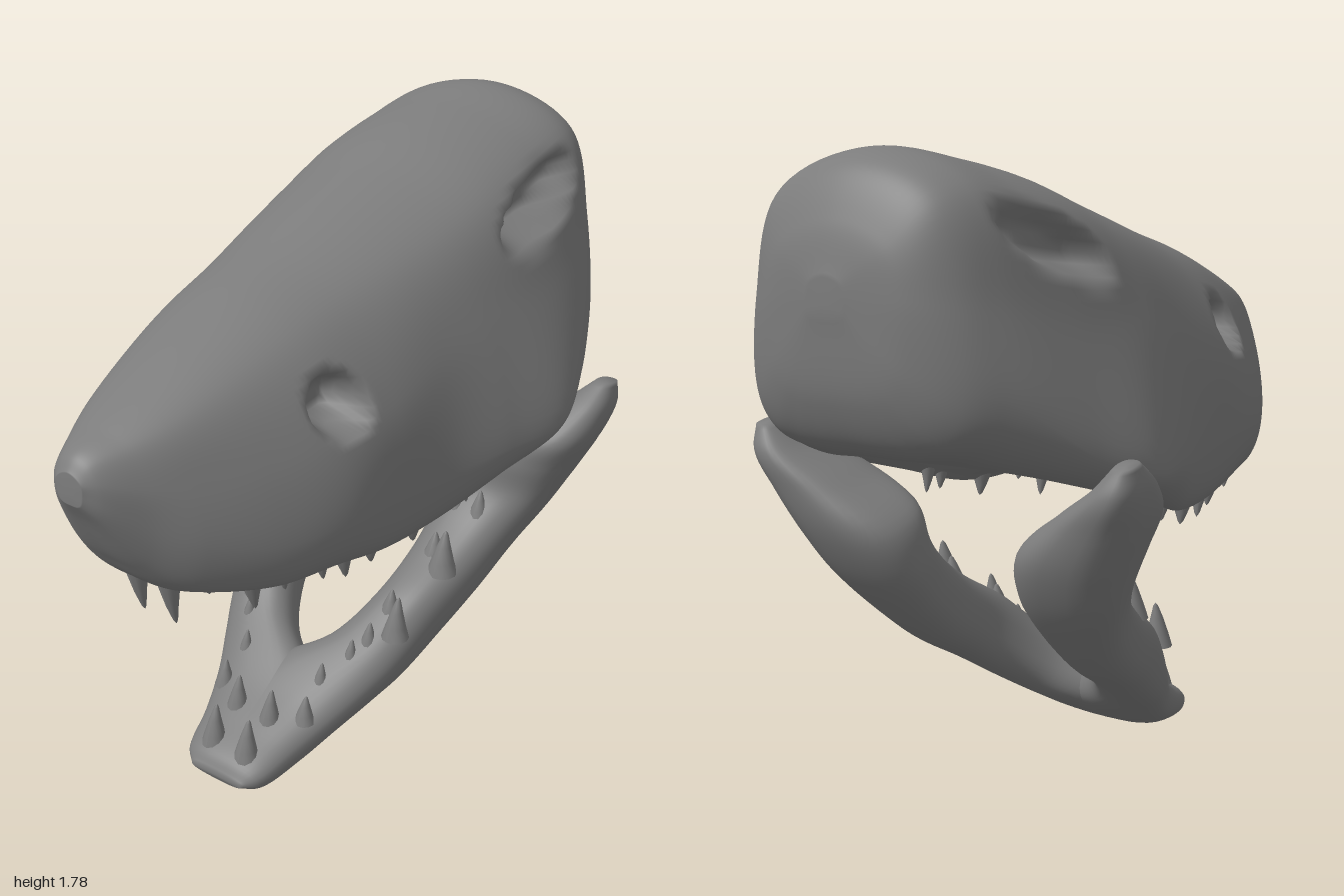
import * as THREE from 'three';

const { smoothstep, lerp } = THREE.MathUtils;
const V = (x, y, z) => new THREE.Vector3(x, y, z);
const bone = new THREE.MeshStandardMaterial({ color: 0x7c7c7c });
bone.name = 'greyBone';

// Closed smooth skin over rings of equal length, capped at both ends
function loft(rings) {
  const n = rings[0].length, pos = [], idx = [];
  rings.forEach(r => r.forEach(p => pos.push(p.x, p.y, p.z)));
  for (let i = 0; i < rings.length - 1; i++) {
    for (let j = 0; j < n; j++) {
      const k = (j + 1) % n, a = i * n + j, b = i * n + k, c = a + n, d = b + n;
      idx.push(a, b, d, a, d, c);
    }
  }
  [0, rings.length - 1].forEach((i, end) => {
    const mid = V(0, 0, 0);
    rings[i].forEach(p => mid.addScaledVector(p, 1 / n));
    const m = pos.length / 3;
    pos.push(mid.x, mid.y, mid.z);
    for (let j = 0; j < n; j++) {
      const a = i * n + j, b = i * n + (j + 1) % n;
      if (end) idx.push(a, b, m); else idx.push(b, a, m);
    }
  });
  const g = new THREE.BufferGeometry();
  g.setAttribute('position', new THREE.Float32BufferAttribute(pos, 3));
  g.setIndex(idx);
  g.computeVertexNormals();
  return g;
}

function addMesh(parent, geometry, name) {
  const m = new THREE.Mesh(geometry, bone);
  m.name = name;
  parent.add(m);
  return m;
}

// Upper skull stations: z, top y, roof x, cheek x, cheek y, widest x, widest y, lip y
const SKULL = [
  [1.0, 1.275, 0.025, 0.04, 1.25, 0.04, 1.225, 1.19],
  [0.97, 1.31, 0.045, 0.075, 1.25, 0.08, 1.2, 1.14],
  [0.88, 1.347, 0.09, 0.14, 1.22, 0.15, 1.12, 0.98],
  [0.78, 1.385, 0.13, 0.2, 1.2, 0.23, 1.05, 0.87],
  [0.6, 1.45, 0.17, 0.28, 1.2, 0.325, 0.99, 0.85],
  [0.4, 1.515, 0.2, 0.345, 1.22, 0.39, 1.0, 0.84],
  [0.2, 1.565, 0.22, 0.375, 1.24, 0.405, 1.02, 0.795],
  [0.0, 1.62, 0.25, 0.385, 1.3, 0.44, 0.97, 0.8],
  [-0.2, 1.675, 0.275, 0.405, 1.35, 0.505, 0.98, 0.86],
  [-0.4, 1.73, 0.295, 0.43, 1.34, 0.55, 0.99, 0.92],
  [-0.6, 1.765, 0.295, 0.42, 1.36, 0.495, 1.06, 0.98],
  [-0.8, 1.785, 0.28, 0.365, 1.42, 0.4, 1.2, 1.03],
  [-0.9, 1.745, 0.24, 0.31, 1.43, 0.325, 1.24, 1.07],
  [-0.97, 1.62, 0.165, 0.21, 1.44, 0.21, 1.31, 1.19],
  [-1.0, 1.49, 0.04, 0.05, 1.45, 0.05, 1.42, 1.4],
];

// Half section from the crown, round the cheek and lip, to the palate.
// Snout tip and nape are rounded below; between them the lips frame a shallow palate.
function halfSection([z, top, roofX, cheekX, cheekY, w, wY, lip]) {
  const h = Math.min(0.04, (wY - lip) * 0.3), rise = wY - lip;
  const palate = lip + w * (0.24 - 0.14 * smoothstep(z, -0.4, 0.2));
  const closed = Math.max(smoothstep(z, 0.55, 0.8), 1 - smoothstep(z, -0.88, -0.45));
  const open = [[0.95, lip + h], [0.86, lip], [0.74, lip + h * 0.6], [0.5, palate], [0, palate + 0.005]];
  const round = [[0.93, lip + rise * 0.5], [0.78, lip + rise * 0.2], [0.55, lip + rise * 0.05], [0.3, lip], [0, lip]];
  return [
    V(0, top, z), V(roofX, top - roofX * 0.35, z), V(cheekX, cheekY, z), V(w, wY, z),
    ...open.map(([x, y], i) => V(w * lerp(x, round[i][0], closed), lerp(y, round[i][1], closed), z)),
  ];
}

// Press the eye sockets and the long openings behind them in to a flat floor
function sink(p) {
  const x = Math.abs(p.x);
  if (x < 0.1) return p;
  const eye = Math.hypot((p.z - 0.365) / 0.095, (p.y - 1.285) / 0.082);
  const slot = Math.hypot((p.z + 0.555) / 0.215, (p.y - 1.562 + 0.27 * (p.z + 0.555)) / 0.07);
  const pressed = lerp(x, Math.min(x, 0.225), 1 - smoothstep(eye, 0.55, 1.05));
  p.x = Math.sign(p.x) * lerp(pressed, Math.min(pressed, 0.268), 1 - smoothstep(slot, 0.6, 1.15));
  return p;
}

function skullGeometry() {
  const sections = SKULL.map(halfSection);
  const rails = sections[0].map((_, j) => new THREE.CatmullRomCurve3(sections.map(s => s[j])));
  const rings = [], steps = (SKULL.length - 1) * 14;
  for (let i = 0; i <= steps; i++) {
    const half = rails.map(r => r.getPoint(i / steps));
    const other = half.slice(1, -1).reverse().map(p => V(-p.x, p.y, p.z));
    const curve = new THREE.CatmullRomCurve3([...half, ...other], true);
    rings.push(Array.from({ length: 160 }, (_, k) => sink(curve.getPoint(k / 160))));
  }
  return loft(rings);
}

// Lower jaw stations: lower z, lower y, upper z, upper y, inner x, outer x
const JAW = [
  [0.53, 0.035, 0.53, 0.06, -0.09, 0.09],
  [0.47, 0.005, 0.5, 0.1, -0.135, 0.135],
  [0.33, 0.015, 0.4, 0.155, -0.16, 0.17],
  [0.2, 0.07, 0.29, 0.215, -0.15, 0.215],
  [0.1, 0.13, 0.2, 0.28, -0.075, 0.262],
  [0.0, 0.2, 0.1, 0.36, 0.07, 0.31],
  [-0.15, 0.3, -0.02, 0.475, 0.15, 0.355],
  [-0.3, 0.39, -0.17, 0.565, 0.17, 0.39],
  [-0.43, 0.5, -0.28, 0.65, 0.172, 0.43],
  [-0.54, 0.62, -0.34, 0.73, 0.172, 0.485],
  [-0.61, 0.74, -0.345, 0.83, 0.2, 0.54],
  [-0.65, 0.87, -0.37, 0.91, 0.34, 0.59],
  [-0.665, 0.97, -0.47, 0.995, 0.48, 0.612],
  [-0.64, 1.04, -0.565, 1.055, 0.55, 0.602],
];

// One branch of the jaw; both branches merge at the chin
function jawGeometry(side) {
  const lower = new THREE.CatmullRomCurve3(JAW.map(s => V(s[4], s[1], s[0])));
  const upper = new THREE.CatmullRomCurve3(JAW.map(s => V(s[5], s[3], s[2])));
  const rings = [], steps = (JAW.length - 1) * 6;
  const round = v => Math.sign(v) * Math.abs(v) ** 0.8;
  for (let i = 0; i <= steps; i++) {
    const a = lower.getPoint(i / steps), b = upper.getPoint(i / steps);
    const mid = a.clone().add(b).multiplyScalar(0.5), half = b.sub(a).multiplyScalar(0.5);
    rings.push(Array.from({ length: 36 }, (_, k) => {
      const t = -side * k / 36 * Math.PI * 2, c = round(Math.cos(t)), s = round(Math.sin(t));
      return V(side * (mid.x + c * half.x), mid.y + s * half.y, mid.z + s * half.z);
    }));
  }
  return loft(rings);
}

// Slightly hooked tooth standing on its base
function toothGeometry(r, h) {
  const profile = [[1.15, 0], [0.85, 0.3], [0.5, 0.65], [0.2, 0.92], [0, 1]];
  const g = new THREE.LatheGeometry(profile.map(([x, y]) => new THREE.Vector2(x * r, y * h)), 12);
  const p = g.attributes.position;
  for (let i = 0; i < p.count; i++) p.setZ(i, p.getZ(i) - 0.12 * h * (p.getY(i) / h) ** 2);
  g.computeVertexNormals();
  return g;
}

// Teeth: x, z, root y, tip y, radius
const UPPER_TEETH = [
  [0.055, 0.74, 0.9, 0.715, 0.034], [0.13, 0.68, 0.9, 0.81, 0.028],
  [0.21, 0.6, 0.9, 0.75, 0.036], [0.25, 0.52, 0.89, 0.785, 0.028],
  [0.3, 0.42, 0.88, 0.785, 0.026], [0.28, 0.3, 0.88, 0.715, 0.04],
  [0.335, 0.25, 0.85, 0.765, 0.03], [0.35, 0.07, 0.84, 0.745, 0.034],
  [0.38, -0.09, 0.87, 0.79, 0.026], [0.39, -0.14, 0.88, 0.785, 0.024],
];
const LOWER_TEETH = [
  [0.06, 0.46, 0.09, 0.225, 0.036], [0.06, 0.35, 0.15, 0.265, 0.032],
  [0.15, 0.3, 0.17, 0.255, 0.028], [0.14, 0.21, 0.22, 0.315, 0.026],
  [0.19, 0.13, 0.28, 0.375, 0.026], [0.22, 0.08, 0.34, 0.42, 0.026],
  [0.29, 0.045, 0.385, 0.515, 0.036], [0.24, 0.0, 0.41, 0.5, 0.032],
  [0.32, -0.15, 0.52, 0.655, 0.04], [0.27, -0.18, 0.53, 0.62, 0.034],
  [0.34, -0.31, 0.64, 0.725, 0.028], [0.27, -0.3, 0.62, 0.7, 0.026],
];

function addTeeth(parent, rows, name) {
  for (const [x, z, root, tip, r] of rows) {
    const g = toothGeometry(r, Math.abs(tip - root));
    if (tip < root) g.rotateZ(Math.PI);
    for (const s of [1, -1]) addMesh(parent, g, name).position.set(s * x, root, z);
  }
}

export function createModel() {
  const model = new THREE.Group();
  model.name = 'reptileSkull';

  const head = new THREE.Group();
  head.name = 'upperSkull';
  addMesh(head, skullGeometry(), 'cranium');
  addTeeth(head, UPPER_TEETH, 'upperTooth');

  const jaw = new THREE.Group();
  jaw.name = 'lowerJaw';
  addMesh(jaw, jawGeometry(1), 'leftJawBranch');
  addMesh(jaw, jawGeometry(-1), 'rightJawBranch');
  addTeeth(jaw, LOWER_TEETH, 'lowerTooth');

  model.add(head, jaw);
  return model;
}
